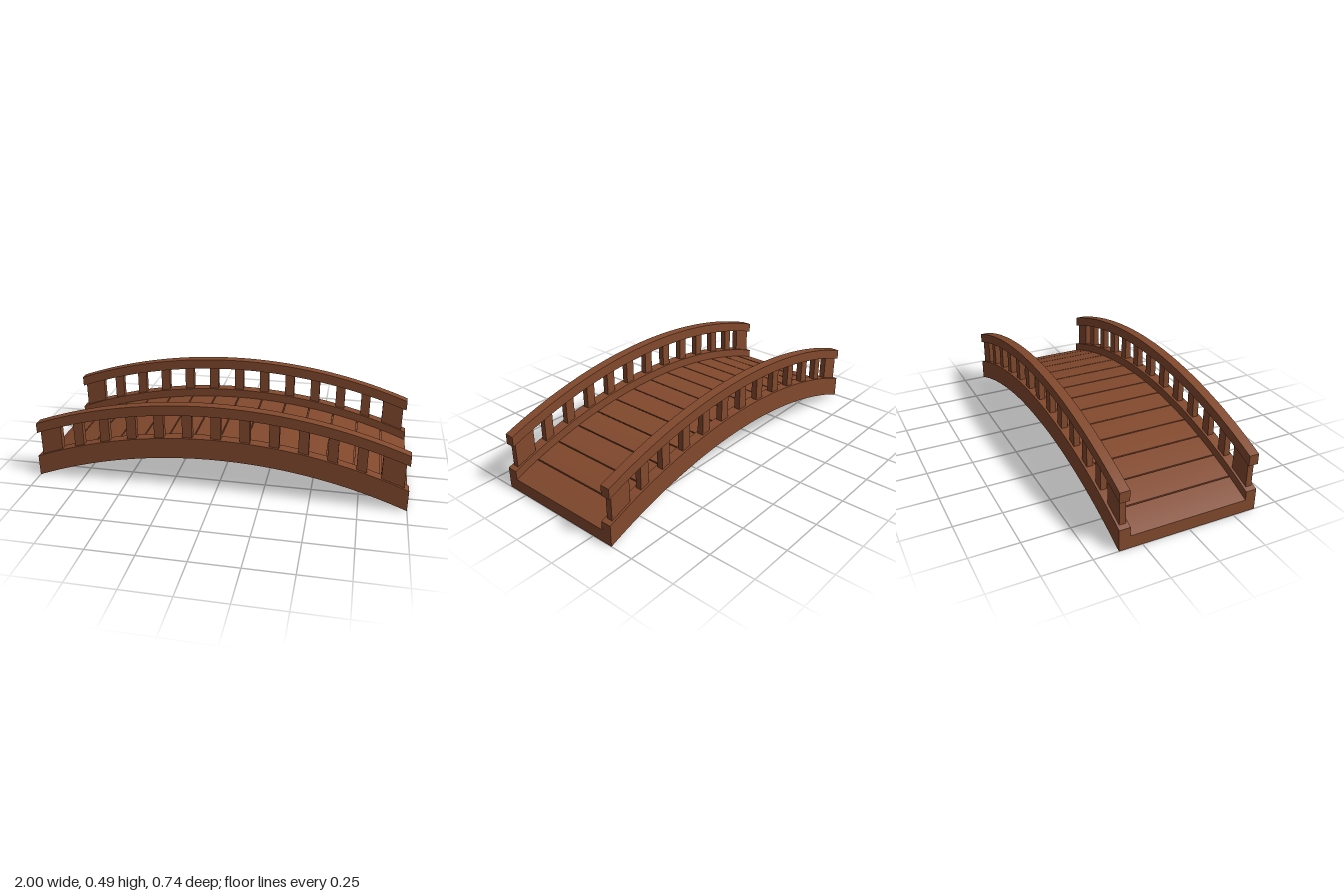
import * as THREE from 'three';
import { toCreasedNormals } from 'three/addons/utils/BufferGeometryUtils.js';

const wood = new THREE.MeshStandardMaterial({ color: 0x82492d });

// Height of a circular arc with its crown at x = 0, falling by drop at x = 1
function arcY(x, crown, drop) {
  const r = (1 + drop * drop) / (2 * drop);
  return crown - r + Math.sqrt(r * r - x * x);
}

// Curved beam between two arcs, from x0 to x1 and z0 to z1
function arcBeam(name, x0, x1, low, high, drop, z0, z1, steps) {
  const lower = [], upper = [];
  for (let i = 0; i <= steps; i++) {
    const x = x0 + (x1 - x0) * i / steps;
    lower.push(new THREE.Vector2(x, arcY(x, low, drop)));
    upper.unshift(new THREE.Vector2(x, arcY(x, high, drop)));
  }
  const shape = new THREE.Shape([...lower, ...upper]);
  const geo = new THREE.ExtrudeGeometry(shape, { depth: z1 - z0, bevelEnabled: false });
  geo.translate(0, 0, z0);
  const mesh = new THREE.Mesh(toCreasedNormals(geo, 0.4), wood);
  mesh.name = name;
  return mesh;
}

function post(name, x, width, y0, y1, z) {
  const mesh = new THREE.Mesh(new THREE.BoxGeometry(width, y1 - y0, 0.033), wood);
  mesh.position.set(x, (y0 + y1) / 2, z);
  mesh.name = name;
  return mesh;
}

export function createModel() {
  const bridge = new THREE.Group();
  bridge.name = 'archedFootbridge';

  // Arched body under the walkway
  bridge.add(arcBeam('archBody', -1, 1, 0.192, 0.25, 0.192, -0.314, 0.314, 40));

  // Deck planks, separated by narrow grooves
  const planks = 14, pitch = 2 / planks, gap = 0.003;
  for (let i = 0; i < planks; i++) {
    const x0 = -1 + i * pitch + (i > 0 ? gap : 0);
    const x1 = -1 + (i + 1) * pitch - (i < planks - 1 ? gap : 0);
    bridge.add(arcBeam('deckPlank', x0, x1, 0.247, 0.26, 0.192, -0.314, 0.314, 3));
  }

  // Side beams, handrails and posts on both sides
  for (const side of [-1, 1]) {
    const railing = new THREE.Group();
    railing.name = side > 0 ? 'frontRailing' : 'backRailing';
    const z = side * 0.343;
    railing.add(arcBeam('sideBeam', -1, 1, 0.192, 0.308, 0.192, z - 0.029, z + 0.029, 40));
    railing.add(arcBeam('handrail', -0.993, 0.993, 0.437, 0.493, 0.183, z - 0.026, z + 0.026, 40));

    for (const end of [-1, 1]) railing.add(post('endPost', end * 0.916, 0.118, 0.1, 0.3, z));

    // Balusters at equal angles along the arch
    for (let i = -5; i <= 5; i++) {
      const x = 2.87 * Math.sin(i * 0.0533);
      railing.add(post('baluster', x, 0.053,
        arcY(x, 0.308, 0.192) - 0.02, arcY(x, 0.437, 0.183) + 0.02, z));
    }
    bridge.add(railing);
  }
  return bridge;
}
